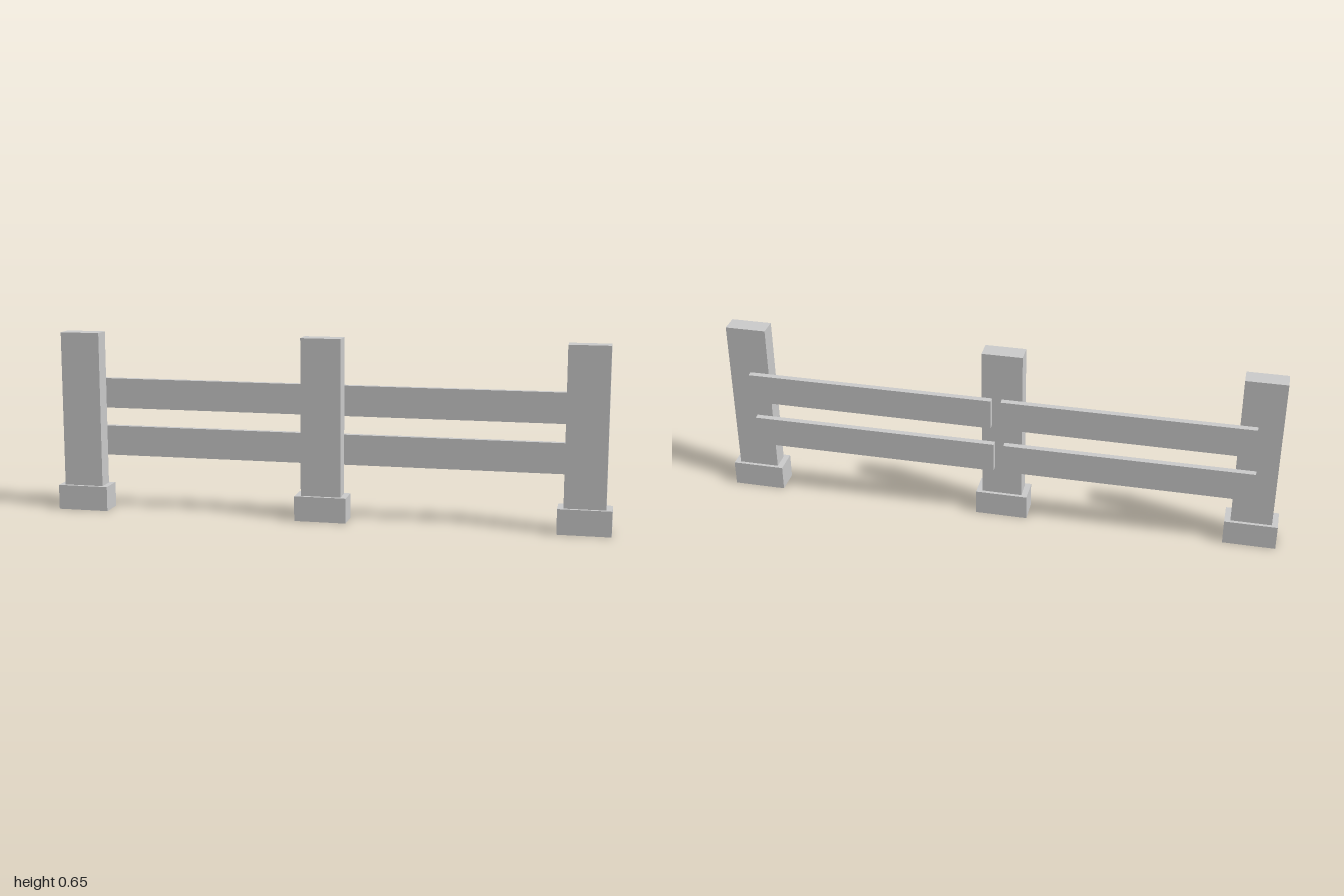
import * as THREE from 'three';

const material = new THREE.MeshStandardMaterial({ color: 0xcccccc, flatShading: true, side: THREE.DoubleSide });

// Box given by its limits on each axis; openBottom leaves out the underside
function block(name, [x0, x1], [y0, y1], [z0, z1], openBottom = false) {
  const geometry = new THREE.BoxGeometry(x1 - x0, y1 - y0, z1 - z0);
  if (openBottom) {
    const bottom = geometry.groups[3];
    const index = Array.from(geometry.index.array);
    index.splice(bottom.start, bottom.count);
    geometry.setIndex(index);
    geometry.clearGroups();
  }
  const mesh = new THREE.Mesh(geometry, material);
  mesh.name = name;
  mesh.position.set((x0 + x1) / 2, (y0 + y1) / 2, (z0 + z1) / 2);
  return mesh;
}

export function createModel() {
  const fence = new THREE.Group();
  fence.name = 'fence';

  // Three posts, each on a wider hollow footing
  const posts = { rightPost: -0.907, middlePost: -0.016, leftPost: 0.907 };
  for (const [name, x] of Object.entries(posts)) {
    const group = new THREE.Group();
    group.name = name;
    group.add(
      block('footing', [x - 0.093, x + 0.093], [0, 0.09], [-0.04, 0.05], true),
      block('post', [x - 0.072, x + 0.072], [0.09, 0.653], [-0.028, 0.037], true)
    );
    fence.add(group);
  }

  // Two rails per bay on the back of the posts, the lower pair slightly offset
  const rows = [['upper', 0.372, 0], ['lower', 0.196, -0.01]];
  for (const [row, y, shift] of rows) {
    for (const [side, x0, x1] of [['Right', -0.895, -0.015], ['Left', 0.02, 0.903]]) {
      fence.add(block(`${row}${side}Rail`, [x0 + shift, x1 + shift], [y, y + 0.109], [-0.05, -0.028]));
    }
  }
  return fence;
}
